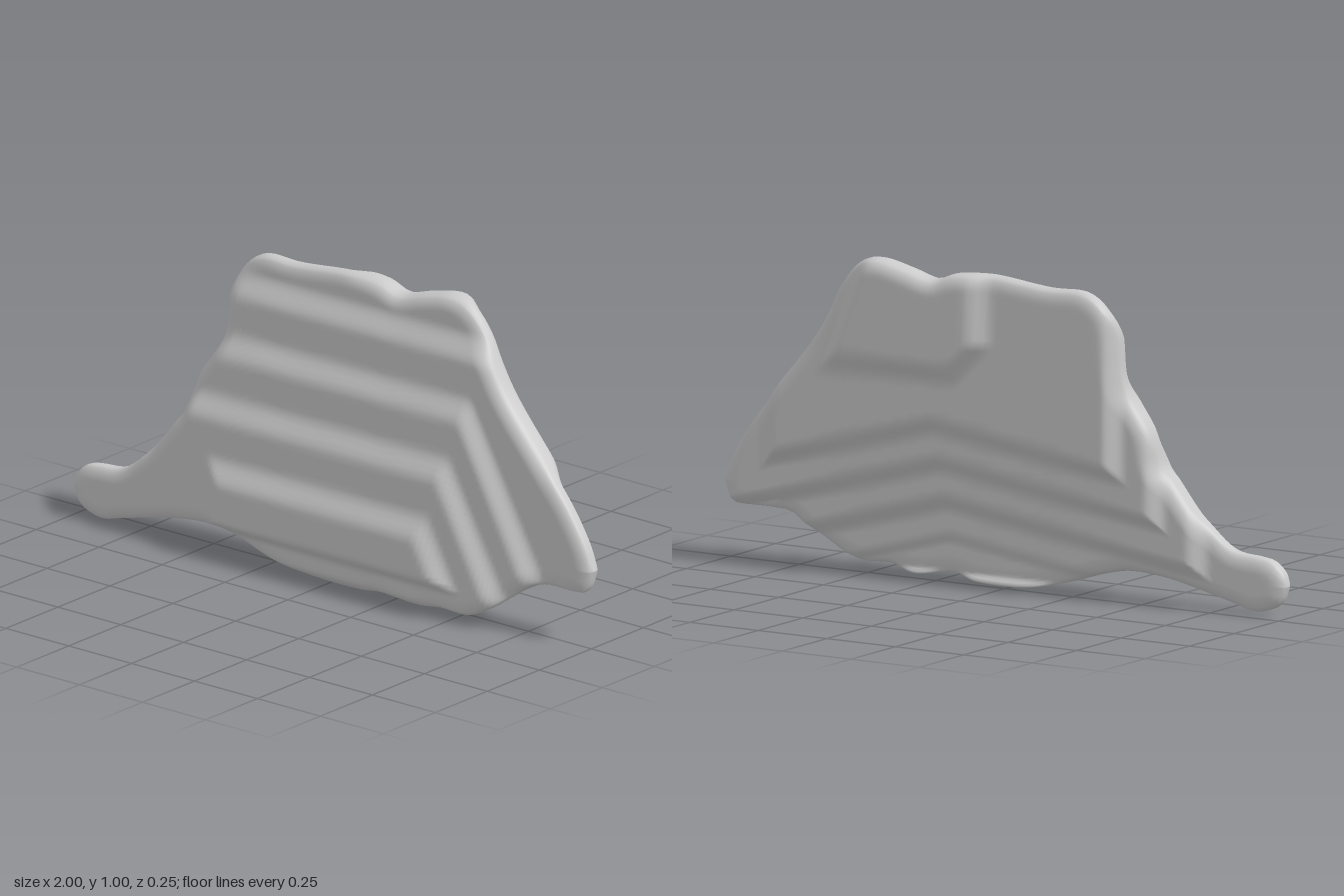
import * as THREE from 'three';

// Upper and lower outline of the slab, as [x, y]
const TOP = [[-1, .1], [-.99, .14], [-.95, .175], [-.9, .185], [-.8, .2], [-.7, .28], [-.6, .4], [-.57, .44],
  [-.54, .55], [-.46, .68], [-.44, .86], [-.4, .93], [-.33, .97], [-.2, .97], [0, .99], [.12, .985], [.2, .96],
  [.3, .985], [.4, 1.005], [.48, .985], [.55, .91], [.65, .74], [.8, .56], [.9, .44], [.97, .33], [1, .25]];
const BOTTOM = [[-1, .1], [-.98, .05], [-.94, .025], [-.88, .015], [-.8, .035], [-.6, .08], [-.45, .095],
  [-.35, .08], [-.2, .035], [-.05, .006], [.12, .006], [.22, .025], [.35, .01], [.45, .03], [.56, .03], [.65, .07],
  [.72, .12], [.8, .17], [.95, .175], [.98, .19], [1, .25]];
const RIBS = 130, ROWS = 64, STEP = 0.0365;
const { clamp, lerp, smoothstep } = THREE.MathUtils;

const spaced = pts => new THREE.SplineCurve(pts.map(p => new THREE.Vector2(...p))).getSpacedPoints(RIBS);
const upper = spaced(TOP), lower = spaced(BOTTOM);

// Staircase with soft risers halfway between whole levels
const stair = n => Math.floor(n) + smoothstep(n - Math.floor(n), 0.25, 0.75);

// Front terraces recede upwards, to the slanted side and at the bottom lip
function frontZ(x, y) {
  const up = (y - 0.19) / 0.193;
  const side = Math.min(3, (x + 0.55 * (y - 0.2) - 0.45) / 0.165 + 0.5);
  const tail = clamp((-0.43 - x) / 0.2 + 0.5, 0, 1);
  const lip = Math.min((0.11 - y) / 0.09 + 0.5, 1 + clamp((x + 0.5) / 0.2, 0, 1));
  return 0.125 - STEP * stair(Math.max(0, up, side, tail, lip));
}

// Back has a raised upper patch, a wide flat, terraces below and stepped ends
function backZ(x, y) {
  const patch = clamp(0.5 + Math.max((0.67 - y) / 0.15, (0.03 - x) / 0.15, (0.8 - x - y) / 0.18,
    (x + 0.4 * (y - 0.8) - 0.53) / 0.15), 0, 1);
  const ridge = 0.5 - (x > 0.22 ? 0.27 * (x - 0.22) : 0.14 * (0.22 - x));
  const low = Math.min(4.5, 1.5 + (ridge - y) / 0.125);
  const leftEnd = Math.min(3.8, 1.5 + (-0.44 - x) / 0.13);
  const rightEnd = Math.min(2, 1.5 + (x - 0.82) / 0.15);
  return -0.125 + STEP * stair(Math.max(patch, low, leftEnd, rightEnd));
}

// Distance to the outline, used to round the rim
const rim = [...upper, ...[...lower].reverse()];
function rimDistance(x, y) {
  let best = Infinity;
  for (let i = 1; i < rim.length; i++) {
    const a = rim[i - 1], dx = rim[i].x - a.x, dy = rim[i].y - a.y;
    const t = clamp(((x - a.x) * dx + (y - a.y) * dy) / (dx * dx + dy * dy || 1), 0, 1);
    best = Math.min(best, Math.hypot(x - a.x - t * dx, y - a.y - t * dy));
  }
  return best;
}

// Ribs fan from lower to upper outline; each is a closed loop, up the front and down the back
function slabGeometry() {
  const loop = 2 * (ROWS + 1), pos = [], index = [];
  for (let i = 0; i <= RIBS; i++) {
    for (let j = 0; j < loop; j++) {
      const isFront = j <= ROWS, t = (isFront ? j : loop - 1 - j) / ROWS;
      const s = lerp(t, (1 - Math.cos(Math.PI * t)) / 2, 0.6);
      const x = lerp(lower[i].x, upper[i].x, s), y = lerp(lower[i].y, upper[i].y, s);
      const f = frontZ(x, y), b = Math.min(backZ(x, y), f - 0.04), mid = (f + b) / 2;
      const k = 1 - Math.min(rimDistance(x, y) / 0.05, 1);
      const round = 0.22 + 0.78 * Math.sqrt(1 - k * k);
      pos.push(x, y, mid + ((isFront ? f : b) - mid) * round);
    }
  }
  for (let i = 0; i < RIBS; i++) {
    for (let j = 0; j < loop; j++) {
      const a = i * loop + j, d = i * loop + (j + 1) % loop;
      index.push(a, a + loop, d + loop, a, d + loop, d);
    }
  }
  const geo = new THREE.BufferGeometry();
  geo.setAttribute('position', new THREE.Float32BufferAttribute(pos, 3));
  geo.setIndex(index);
  geo.computeVertexNormals();
  return geo;
}

export function createModel() {
  const group = new THREE.Group();
  group.name = 'terracedSlab';
  const slab = new THREE.Mesh(slabGeometry(), new THREE.MeshStandardMaterial({ color: 0xcccccc }));
  slab.name = 'slab';
  group.add(slab);
  return group;
}
